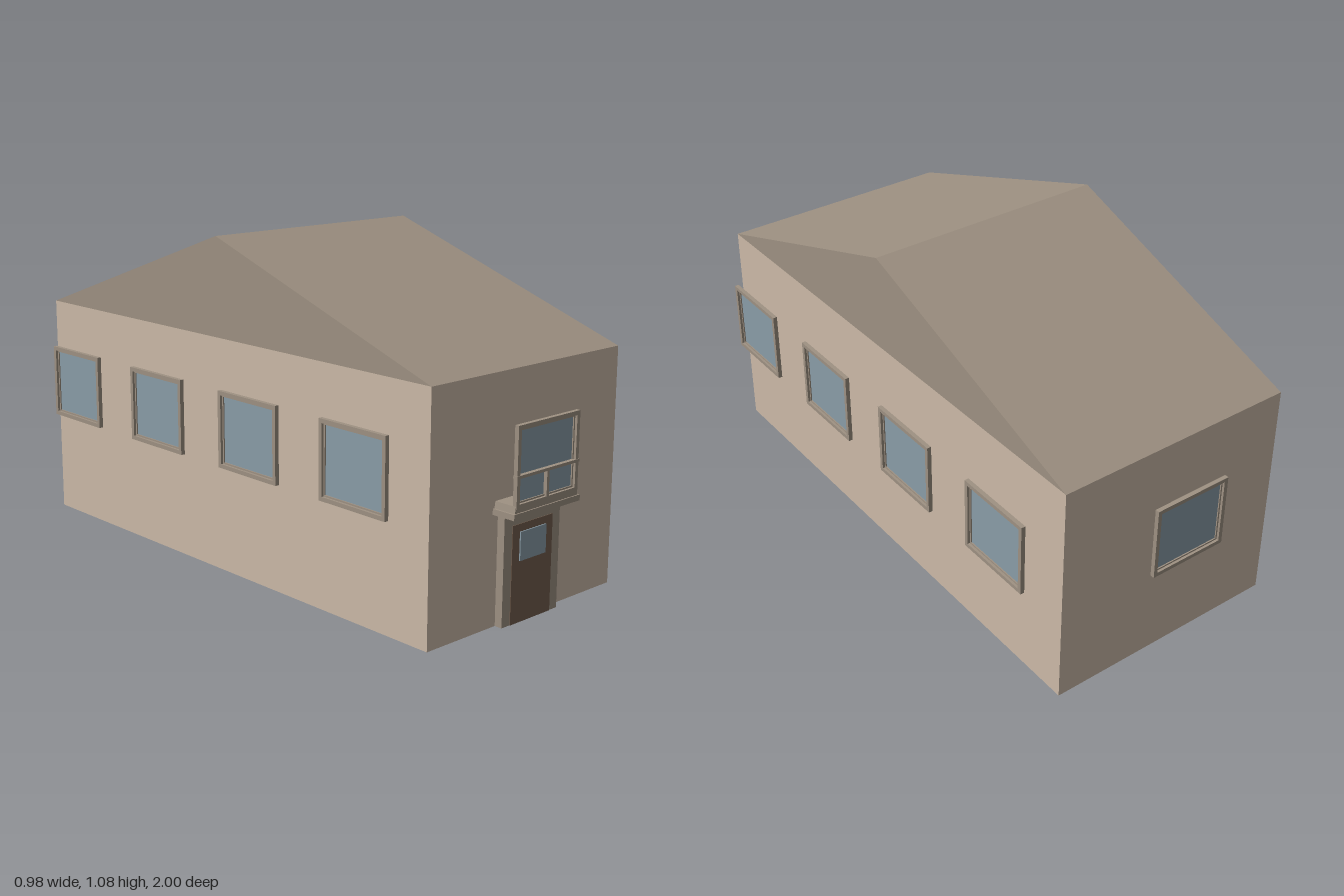
import * as THREE from 'three';

const mat = (color) => new THREE.MeshStandardMaterial({ color, flatShading: true });
const wallMat = mat(0xcdbba9);
const trimMat = mat(0x9f9283);
const glassMat = mat(0x8b9ea9);
const doorMat = mat(0x735e4e);

// Box given by its low and high corners
function box(name, material, [x0, y0, z0], [x1, y1, z1]) {
  const mesh = new THREE.Mesh(new THREE.BoxGeometry(x1 - x0, y1 - y0, z1 - z0), material);
  mesh.position.set((x0 + x1) / 2, (y0 + y1) / 2, (z0 + z1) / 2);
  mesh.name = name;
  return mesh;
}

// Rectangular ring in the xy plane, extruded from z = 0 to z = depth
function frame(name, w, h, border, depth) {
  const rect = (Type, a, b) => new Type([[-a, -b], [a, -b], [a, b], [-a, b]]
    .map(([x, y]) => new THREE.Vector2(x, y)));
  const shape = rect(THREE.Shape, w / 2, h / 2);
  shape.holes.push(rect(THREE.Path, w / 2 - border, h / 2 - border));
  const mesh = new THREE.Mesh(
    new THREE.ExtrudeGeometry(shape, { depth, bevelEnabled: false }), trimMat);
  mesh.name = name;
  return mesh;
}

// Window centred on its own origin, facing +z, outer face at z = 0
function makeWindow(name, w = 0.27, h = 0.245) {
  const group = new THREE.Group();
  group.name = name;
  const outer = frame('windowFrame', w, h, 0.013, 0.014);
  outer.position.z = -0.014;
  const sash = frame('windowSash', w - 0.026, h - 0.026, 0.005, 0.006);
  sash.position.z = -0.014;
  const a = w / 2 - 0.015, b = h / 2 - 0.015;
  group.add(outer, sash, box('windowGlass', glassMat, [-a, -b, -0.02], [a, b, -0.012]));
  return group;
}

export function createModel() {
  const house = new THREE.Group();
  house.name = 'house';

  // Walls
  house.add(box('walls', wallMat, [-0.412, 0, -0.92], [0.412, 0.762, 0.92]));

  // Gable roof, ridge running along x
  const gable = new THREE.Shape([
    new THREE.Vector2(-0.92, 0.762), new THREE.Vector2(0.92, 0.762), new THREE.Vector2(0, 1.08),
  ]);
  const roofGeo = new THREE.ExtrudeGeometry(gable, { depth: 0.824, bevelEnabled: false });
  roofGeo.translate(0, 0, -0.412).rotateY(Math.PI / 2);
  const roof = new THREE.Mesh(roofGeo, trimMat);
  roof.name = 'roof';
  house.add(roof);

  // Side windows, standing off the walls
  for (const side of [-1, 1]) {
    for (const z of [-0.69, -0.23, 0.23, 0.69]) {
      const win = makeWindow(side > 0 ? 'leftWindow' : 'rightWindow');
      win.position.set(side * 0.489, 0.498, z);
      win.rotation.y = side * Math.PI / 2;
      house.add(win);
    }
  }

  // Back window
  const back = makeWindow('backWindow');
  back.position.set(0, 0.498, -1);
  back.rotation.y = Math.PI;
  house.add(back);

  // Front window with a transom and a short mullion below it
  const front = makeWindow('frontWindow', 0.274, 0.245);
  front.position.set(0, 0.498, 0.998);
  front.add(
    box('transom', trimMat, [-0.139, -0.033, -0.014], [0.139, -0.024, 0.002]),
    box('mullion', trimMat, [-0.005, -0.122, -0.014], [0.005, -0.03, 0]),
  );
  house.add(front);

  // Door canopy: a slab with a tapered cap
  house.add(box('canopySlab', trimMat, [-0.148, 0.345, 0.92], [0.148, 0.363, 1]));
  const cap = box('canopyCap', trimMat, [-0.141, 0.363, 0.92], [0.141, 0.384, 0.996]);
  const p = cap.geometry.attributes.position;
  for (let i = 0; i < p.count; i++) {
    if (p.getY(i) > 0) p.setX(i, p.getX(i) * 0.975);
  }
  cap.geometry.computeVertexNormals();
  house.add(cap);

  // Door surround: two posts and a lintel
  for (const s of [-1, 1]) {
    house.add(box('doorPost', trimMat,
      [s * 0.1075 - 0.0175, 0, 0.92], [s * 0.1075 + 0.0175, 0.345, 0.946]));
  }
  house.add(box('doorLintel', trimMat, [-0.09, 0.305, 0.92], [0.09, 0.345, 0.946]));

  // Door leaf and its pane
  house.add(box('door', doorMat, [-0.09, 0, 0.92], [0.09, 0.305, 0.948]));
  house.add(box('doorGlass', glassMat, [-0.058, 0.192, 0.93], [0.058, 0.281, 0.952]));

  return house;
}
